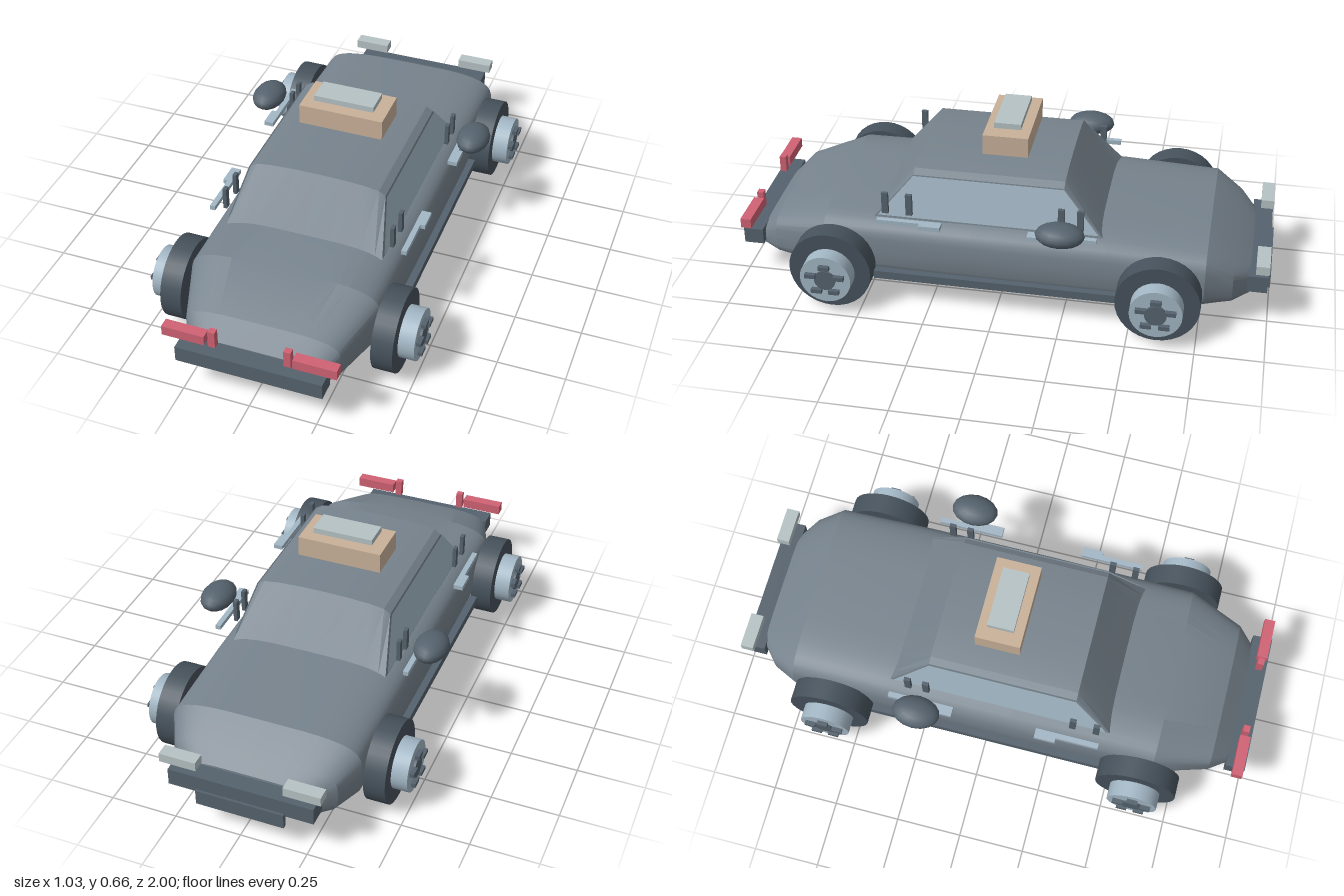
import * as THREE from 'three';
import { toCreasedNormals } from 'three/addons/utils/BufferGeometryUtils.js';

const paint = (name, color) => Object.assign(new THREE.MeshStandardMaterial({ color }), { name });

// Skin a row of closed rings (each counter-clockwise seen from +z), capped at both ends
function loft(rings, crease) {
  const n = rings[0].length, pos = rings.flat(2), idx = [];
  for (let i = 0; i < rings.length - 1; i++) {
    for (let j = 0; j < n; j++) {
      const a = i * n + j, b = i * n + (j + 1) % n, c = a + n, d = b + n;
      idx.push(a, b, d, a, d, c);
    }
  }
  const last = (rings.length - 1) * n;
  for (let j = 1; j < n - 1; j++) idx.push(0, j + 1, j, last, last + j, last + j + 1);
  const geo = new THREE.BufferGeometry();
  geo.setAttribute('position', new THREE.Float32BufferAttribute(pos, 3));
  geo.setIndex(idx);
  return toCreasedNormals(geo, crease);
}

export function createModel() {
  const car = new THREE.Group();
  car.name = 'car';
  const body = paint('body grey', 0x77838d);
  const dark = paint('dark grey', 0x55626d);
  const tyre = paint('tyre grey', 0x46525c);
  const glass = paint('pale blue', 0xa3b7c5);
  const lamp = paint('lamp white', 0xb6c2c4);
  const red = paint('tail red', 0xd06274);
  const tan = paint('sign tan', 0xc9b199);
  glass.side = THREE.DoubleSide;

  const add = (name, geo, mat, parent = car) => {
    const mesh = new THREE.Mesh(geo, mat);
    mesh.name = name;
    parent.add(mesh);
    return mesh;
  };
  // Box given by its low and high corners
  const box = (name, mat, x0, x1, y0, y1, z0, z1, parent = car) => {
    const mesh = add(name, new THREE.BoxGeometry(Math.abs(x1 - x0), y1 - y0, z1 - z0), mat, parent);
    mesh.position.set((x0 + x1) / 2, (y0 + y1) / 2, (z0 + z1) / 2);
    return mesh;
  };

  // Body shell: rounded-square sections [z, half width, bottom, top]
  const stations = [
    [-0.925, 0.24, 0.085, 0.215], [-0.865, 0.31, 0.075, 0.265], [-0.765, 0.36, 0.07, 0.33],
    [-0.4, 0.365, 0.066, 0.345], [0.1, 0.365, 0.066, 0.347], [0.655, 0.36, 0.07, 0.342],
    [0.865, 0.29, 0.08, 0.265], [0.93, 0.24, 0.09, 0.195],
  ];
  const power = (v) => Math.sign(v) * Math.sqrt(Math.abs(v));
  const bodyRings = stations.map(([z, w, lo, hi]) => Array.from({ length: 40 }, (_, i) => {
    const t = (i / 40) * Math.PI * 2;
    return [w * power(Math.cos(t)), (lo + hi) / 2 + ((hi - lo) / 2) * power(Math.sin(t)), z];
  }));
  add('bodyShell', loft(bodyRings, 0.35), body);

  // Cabin: domed roof falling to the body at both windscreens
  const half = [[0.3, 0.325], [0.26, 0.495], [0.235, 0.511], [0.18, 0.519], [0.09, 0.524]];
  const arch = [...half, [0, 0.525], ...half.map(([x, y]) => [-x, y]).reverse()];
  const roofRing = (z) => arch.map(([x, y]) => [x, y, z]);
  const footRing = (z) => arch.map(([x]) => [THREE.MathUtils.clamp(x * 1.154, -0.3, 0.3), 0.325, z]);
  add('cabin', loft([footRing(-0.385), roofRing(-0.235), roofRing(0.325), footRing(0.47)], 0.4), body);

  // Roof sign
  box('roofSign', tan, -0.162, 0.162, 0.553, 0.631, -0.085, 0.085);
  box('roofSignLamp', lamp, -0.116, 0.116, 0.64, 0.662, -0.05, 0.05);

  // Bumpers and number plate
  box('rearBumper', dark, -0.272, 0.272, 0.13, 0.192, 0.925, 1);
  box('frontBumper', dark, -0.272, 0.272, 0.14, 0.206, -0.99, -0.915);
  box('frontPlate', dark, -0.165, 0.165, 0.092, 0.15, -1, -0.982);

  for (const s of [1, -1]) {
    const side = new THREE.Group();
    side.name = s > 0 ? 'leftSide' : 'rightSide';
    car.add(side);
    const sideBox = (name, mat, x0, x1, ...rest) => box(name, mat, s * x0, s * x1, ...rest, side);

    // Side window
    const pane = new THREE.BufferGeometry();
    const corners = [[0.303, 0.335, 0.455], [0.303, 0.335, -0.37], [0.266, 0.493, -0.235], [0.266, 0.493, 0.325]];
    pane.setAttribute('position', new THREE.Float32BufferAttribute(corners.flatMap(([x, y, z]) => [s * x, y, z]), 3));
    pane.setIndex(s > 0 ? [0, 1, 2, 0, 2, 3] : [0, 2, 1, 0, 3, 2]);
    pane.computeVertexNormals();
    add('sideWindow', pane, glass, side);

    // Window posts
    for (const z of [-0.305, -0.235, 0.33, 0.42]) {
      sideBox('windowPost', dark, 0.315, 0.329, 0.36, 0.445, z - 0.012, z + 0.012);
    }

    // Door trims, handles and sill
    for (const [z0, z1] of [[-0.37, -0.12], [0.2, 0.44]]) {
      sideBox('doorTrim', glass, 0.36, 0.38, 0.345, 0.362, z0, z1);
    }
    for (const z of [-0.16, 0.24]) {
      sideBox('doorHandle', glass, 0.38, 0.397, 0.345, 0.362, z - 0.04, z + 0.04);
    }
    sideBox('sill', dark, 0.35, 0.385, 0.105, 0.137, -0.46, 0.46);

    // Door mirror
    const mirror = add('doorMirror', new THREE.SphereGeometry(1, 16, 10), dark, side);
    mirror.scale.set(0.063, 0.042, 0.09);
    mirror.position.set(s * 0.424, 0.402, -0.245);

    // Lights
    sideBox('headlight', lamp, 0.162, 0.3, 0.235, 0.27, -0.992, -0.943);
    sideBox('tailLight', red, 0.162, 0.321, 0.227, 0.265, 0.95, 0.99);
    sideBox('reverseLight', red, 0.126, 0.152, 0.217, 0.283, 0.955, 0.98);

    // Wheels
    for (const z of [-0.605, 0.612]) {
      const wheel = new THREE.Group();
      wheel.name = z > 0 ? 'rearWheel' : 'frontWheel';
      wheel.position.set(0, 0.155, z);
      side.add(wheel);
      const disc = (name, mat, r, x0, x1) => {
        const mesh = add(name, new THREE.CylinderGeometry(r, r, x1 - x0, 32), mat, wheel);
        mesh.rotation.z = Math.PI / 2;
        mesh.position.x = (s * (x0 + x1)) / 2;
      };
      disc('tyre', tyre, 0.155, 0.36, 0.44);
      disc('rim', glass, 0.096, 0.43, 0.5);
      disc('hubCap', dark, 0.04, 0.49, 0.508);
      for (let i = 0; i < 5; i++) {
        const a = (i / 5) * Math.PI * 2;
        const y = Math.cos(a) * 0.056, dz = Math.sin(a) * 0.056;
        box('wheelBolt', dark, s * 0.495, s * 0.517, y - 0.008, y + 0.008, dz - 0.02, dz + 0.02, wheel);
      }
    }
  }
  return car;
}
